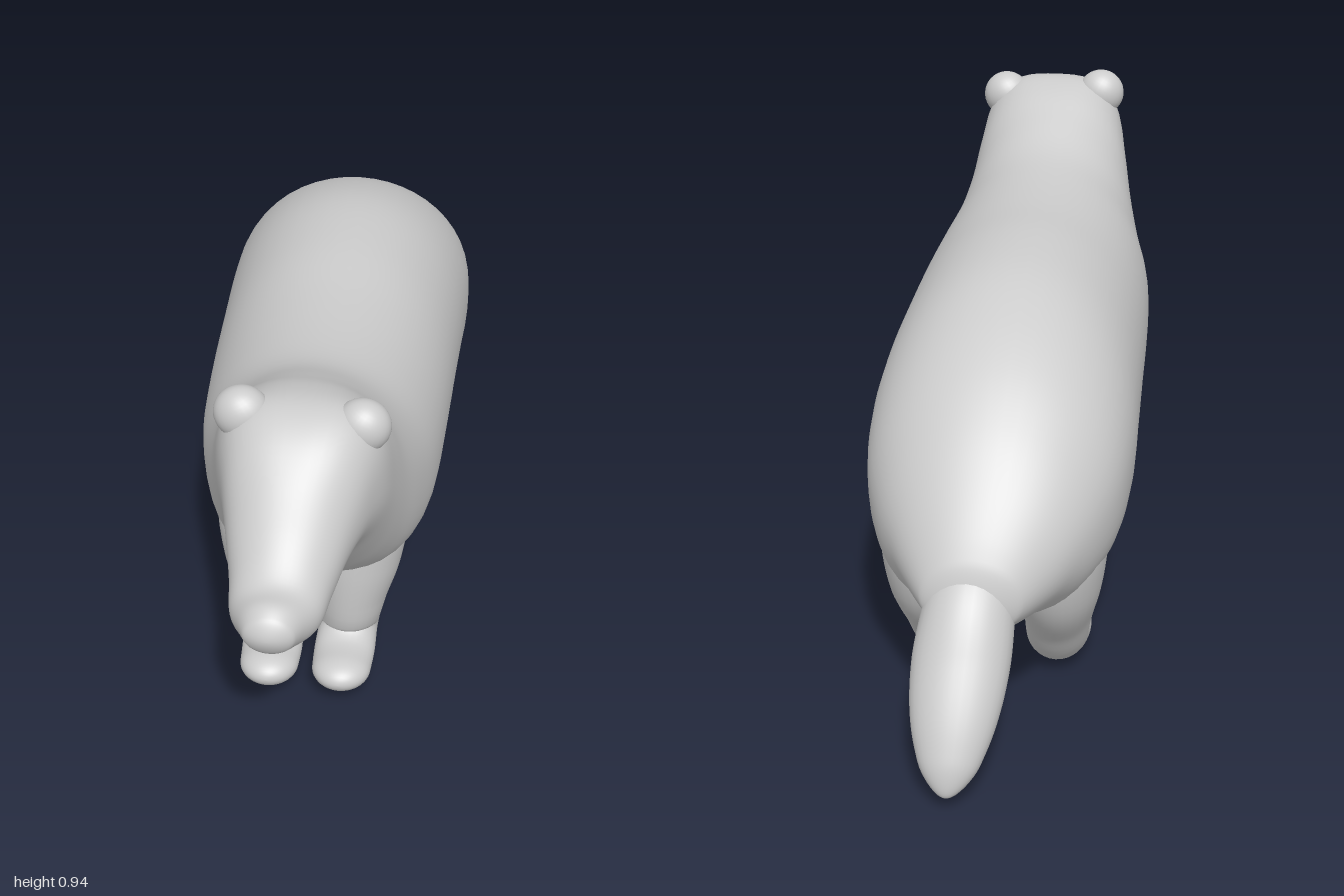
import * as THREE from 'three';

const curve = points => new THREE.CatmullRomCurve3(
  points.map(p => new THREE.Vector3(...p)), false, 'catmullrom', 0.5);

// Smooth closed skin through stations
// [x, y, z, halfWidth, halfHeight, upperSquareness, lowerSquareness].
// Upright sections stay vertical; otherwise they follow the path.
function loft(stations, { upright = false, rings = 48, sides = 32 } = {}) {
  const path = curve(stations.map(s => s.slice(0, 3)));
  const sizes = curve(stations.map(s => [s[3], s[4], 0]));
  const squareness = curve(stations.map(s => [s[5] ?? 2, s[6] ?? 2, 0]));
  const capLength = 0.5 / (stations.length - 1);
  const side = new THREE.Vector3(1, 0, 0);
  const positions = [], index = [];
  for (let i = 0; i <= rings; i++) {
    const t = (1 - Math.cos(Math.PI * i / rings)) / 2;
    const e = Math.min(1, t / capLength, (1 - t) / capLength);
    const round = Math.max(0.002, Math.sqrt(Math.max(0, 1 - (1 - e) ** 2)));
    const p = path.getPoint(t), s = sizes.getPoint(t), n = squareness.getPoint(t);
    const tangent = upright ? new THREE.Vector3(0, 0, -1) : path.getTangent(t).setX(0).normalize();
    const up = side.clone().cross(tangent);
    for (let j = 0; j < sides; j++) {
      const a = 2 * Math.PI * j / sides, c = Math.cos(a), d = Math.sin(a);
      const power = d > 0 ? n.x : n.y;
      const r = (Math.abs(c) ** power + Math.abs(d) ** power) ** (-1 / power) * round;
      const v = p.clone().addScaledVector(side, c * r * s.x).addScaledVector(up, d * r * s.y);
      positions.push(v.x, v.y, v.z);
      if (i < rings) {
        const k = (j + 1) % sides, q = i * sides, w = q + sides;
        index.push(q + j, w + j, q + k, q + k, w + j, w + k);
      }
    }
  }
  const g = new THREE.BufferGeometry();
  g.setAttribute('position', new THREE.Float32BufferAttribute(positions, 3));
  g.setIndex(index);
  g.computeVertexNormals();
  return g;
}

export function createModel() {
  const group = new THREE.Group();
  const fur = new THREE.MeshStandardMaterial({ color: 0xcccccc });
  fur.name = 'grey fur';
  const add = (name, geometry) => {
    const mesh = new THREE.Mesh(geometry, fur);
    mesh.name = name;
    group.add(mesh);
    return mesh;
  };

  // Body, neck, head and nose in one skin:
  // z, top, bottom, half width, centre x, upper and lower squareness
  const outline = [
    [1.0, 0.69, 0.635, 0.038, -0.005, 2, 2],
    [0.96, 0.713, 0.605, 0.058, -0.005, 2, 2],
    [0.91, 0.718, 0.583, 0.083, -0.003, 2, 2.1],
    [0.85, 0.765, 0.58, 0.095, 0, 2, 2.1],
    [0.78, 0.84, 0.592, 0.115, 0.004, 2.2, 2],
    [0.71, 0.897, 0.59, 0.138, 0.009, 2.7, 2],
    [0.64, 0.92, 0.545, 0.16, 0.011, 3, 2],
    [0.56, 0.905, 0.46, 0.176, 0.008, 2.5, 2.2],
    [0.48, 0.868, 0.375, 0.193, 0.005, 2.1, 2.4],
    [0.38, 0.823, 0.295, 0.218, 0.003, 2, 2.6],
    [0.26, 0.805, 0.25, 0.243, 0, 2, 2.6],
    [0.1, 0.80, 0.25, 0.253, 0, 2, 2.4],
    [-0.08, 0.806, 0.225, 0.258, 0, 2, 2.3],
    [-0.26, 0.795, 0.212, 0.263, 0, 2, 2.4],
    [-0.4, 0.755, 0.205, 0.265, 0, 2, 2.6],
    [-0.52, 0.695, 0.205, 0.252, 0, 2, 2.6],
    [-0.62, 0.62, 0.212, 0.218, 0, 2, 2.4],
    [-0.7, 0.54, 0.242, 0.172, 0, 2, 2.1],
    [-0.765, 0.46, 0.255, 0.122, 0.005, 2, 2],
    [-0.815, 0.38, 0.27, 0.075, 0.012, 2, 2],
  ];
  add('body', loft(outline.map(([z, top, bottom, w, x, upper, lower]) =>
    [x, (top + bottom) / 2, z, w, (top - bottom) / 2, upper, lower]),
  { upright: true, rings: 120, sides: 48 }));

  // Ears: low bumps on the corners of the head, the right one slightly higher
  for (const [name, x, y, tilt] of [['rightEar', -0.098, 0.885, 0.4], ['leftEar', 0.124, 0.873, -0.4]]) {
    const ear = add(name, new THREE.SphereGeometry(1, 28, 20));
    ear.scale.set(0.053, 0.053, 0.045);
    ear.position.set(x, y, 0.633);
    ear.rotation.z = tilt;
  }

  // Legs: their tops fade into the body; the front pair sits slightly to the right
  const frontLeg = [
    [0.09, 0.53, 0.27, 0.08, 0.12],
    [0.108, 0.39, 0.29, 0.09, 0.122],
    [0.098, 0.28, 0.312, 0.089, 0.104],
    [0.088, 0.19, 0.327, 0.072, 0.084],
    [0.08, 0.11, 0.332, 0.063, 0.066],
    [0.077, 0.08, 0.4, 0.064, 0.041],
    [0.076, 0.086, 0.512, 0.058, 0.036],
  ];
  const hindLeg = [
    [0.1, 0.51, -0.5, 0.1, 0.13],
    [0.125, 0.38, -0.525, 0.1, 0.14],
    [0.13, 0.26, -0.52, 0.088, 0.12],
    [0.124, 0.155, -0.482, 0.071, 0.086],
    [0.117, 0.075, -0.438, 0.064, 0.066],
    [0.114, 0.042, -0.362, 0.066, 0.042],
    [0.11, 0.05, -0.258, 0.06, 0.038],
  ];
  for (const [name, stations, shift] of [['FrontLeg', frontLeg, -0.011], ['HindLeg', hindLeg, 0]]) {
    for (const [label, sign] of [['left', 1], ['right', -1]]) {
      add(label + name, loft(stations.map(([x, ...rest]) => [sign * x + shift, ...rest]), { rings: 60 }));
    }
  }

  // Tail
  add('tail', loft([
    [0.01, 0.37, -0.68, 0.08, 0.08],
    [0.015, 0.31, -0.77, 0.088, 0.078],
    [0.022, 0.225, -0.84, 0.093, 0.072],
    [0.027, 0.135, -0.915, 0.078, 0.056],
    [0.03, 0.035, -0.99, 0.036, 0.026],
  ]));

  // Small strand of fur under the belly
  add('bellyTuft', loft([
    [0, 0.25, 0.16, 0.012, 0.01],
    [0.01, 0.236, 0.11, 0.02, 0.009],
    [-0.005, 0.225, 0.05, 0.014, 0.011],
    [0, 0.195, 0, 0.014, 0.01],
  ], { rings: 20, sides: 12 }));

  return group;
}
